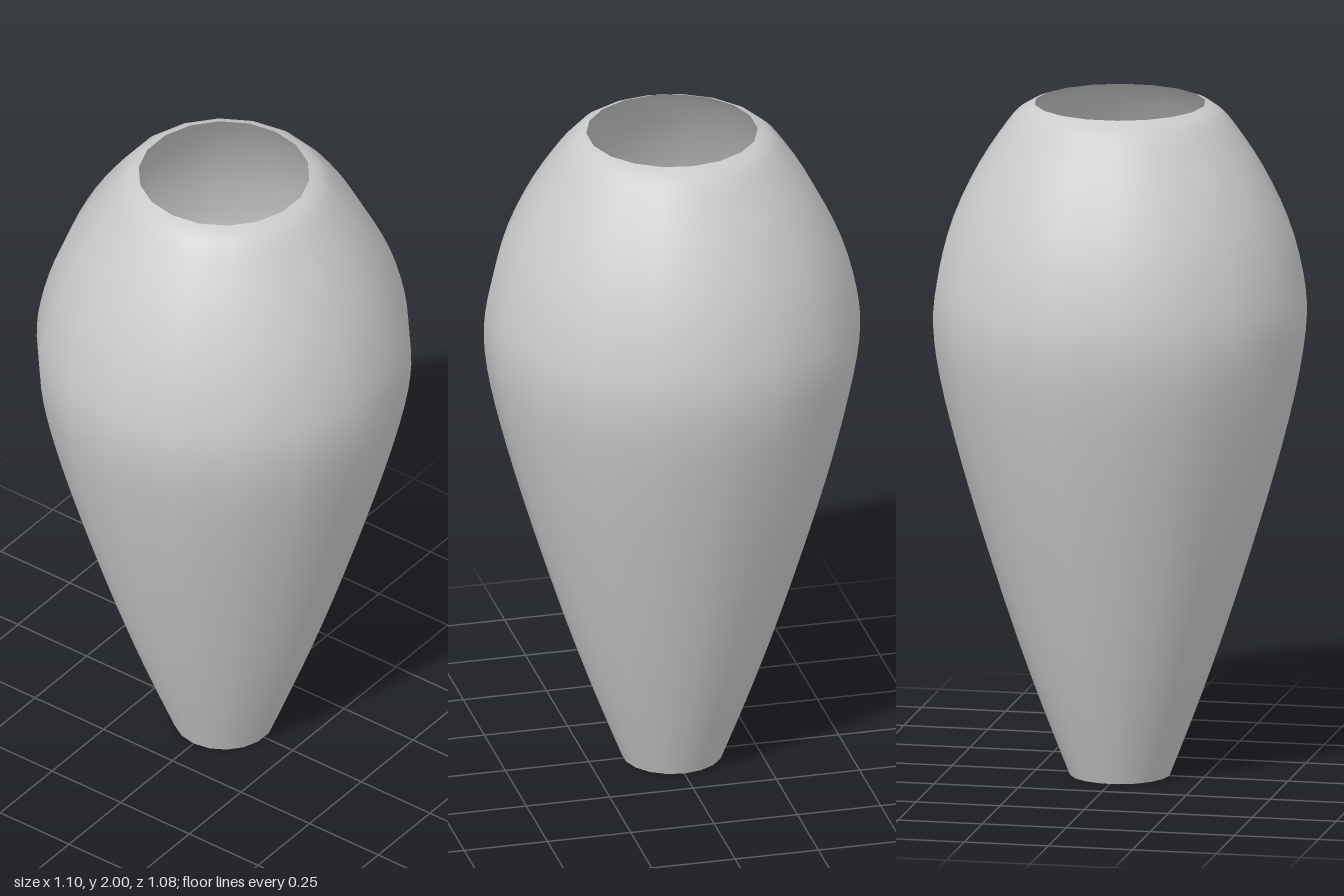
import * as THREE from 'three';

export function createModel() {
  const group = new THREE.Group();
  group.name = 'vase';

  // Outline of the vase wall from foot to mouth (radius, height)
  const outline = new THREE.SplineCurve([
    [0.147, 0], [0.225, 0.2], [0.297, 0.4], [0.363, 0.6], [0.425, 0.8],
    [0.482, 1.0], [0.53, 1.2], [0.549, 1.35], [0.538, 1.48], [0.495, 1.64],
    [0.42, 1.8], [0.335, 1.93], [0.29, 1.98], [0.25, 2.0],
  ].map(([r, y]) => new THREE.Vector2(r, y)));

  // Thin 18-sided shell, open at both ends, with corners on the x axis
  const wall = new THREE.Mesh(
    new THREE.LatheGeometry(outline.getPoints(39), 18, Math.PI / 2),
    new THREE.MeshStandardMaterial({ color: 0xcccccc, side: THREE.DoubleSide })
  );
  wall.name = 'vaseWall';
  group.add(wall);

  return group;
}
